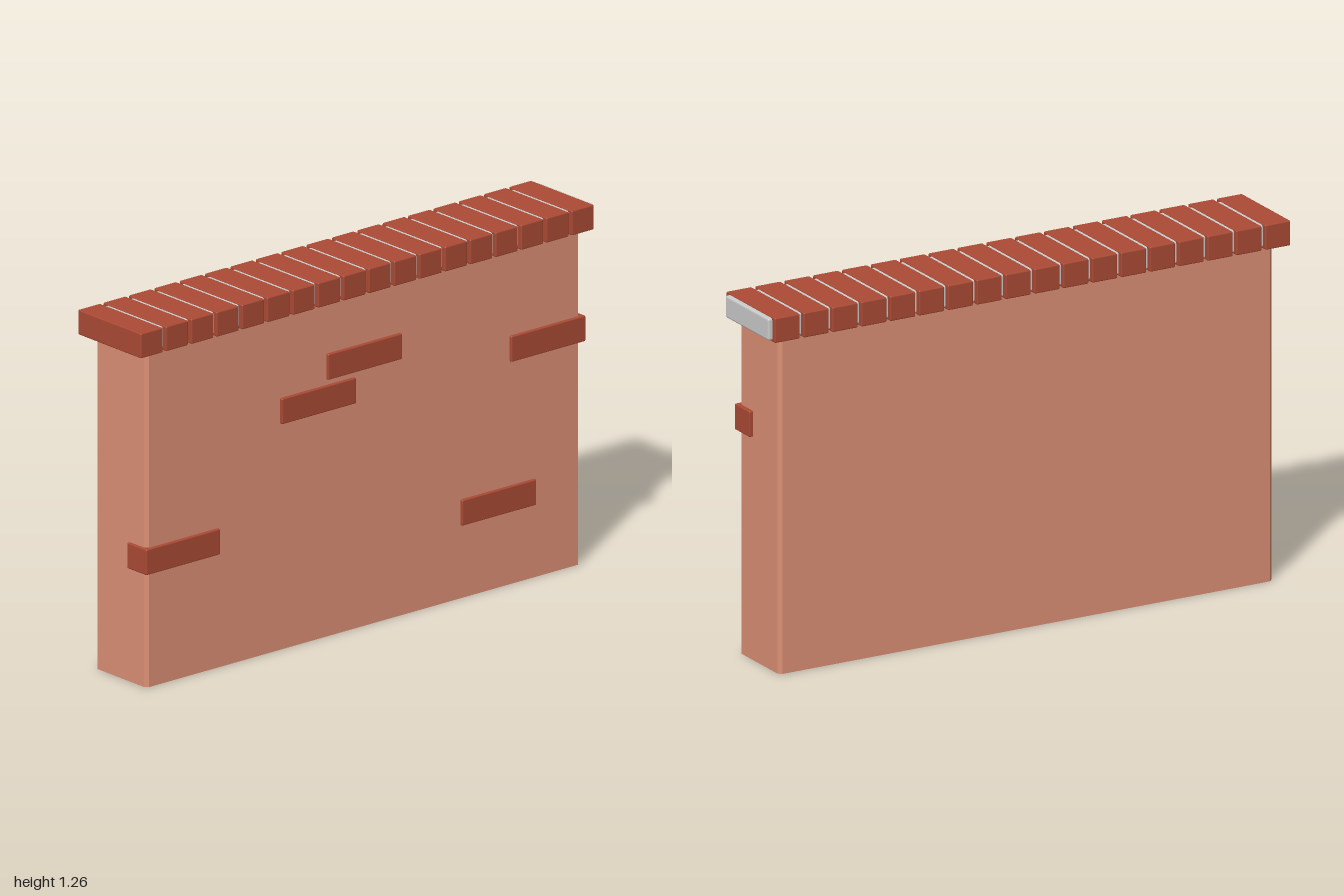
import * as THREE from 'three';
import { RoundedBoxGeometry } from 'three/addons/geometries/RoundedBoxGeometry.js';

const wallMat = new THREE.MeshStandardMaterial({ color: 0xdb8f75 });
const brickMat = new THREE.MeshStandardMaterial({ color: 0xab4a34 });
const mortarMat = new THREE.MeshStandardMaterial({ color: 0xcccccc });

// Softly bevelled block given by its centre and size
function block(name, material, [x, y, z], [w, h, d], bevel = 0.005) {
  const mesh = new THREE.Mesh(new RoundedBoxGeometry(w, h, d, 1, bevel), material);
  mesh.name = name;
  mesh.position.set(x, y, z);
  return mesh;
}

// Upright slab with chamfered vertical corners
function wallBody(halfX, halfZ, height, c) {
  const shape = new THREE.Shape([
    [halfX, -halfZ + c], [halfX, halfZ - c], [halfX - c, halfZ], [-halfX + c, halfZ],
    [-halfX, halfZ - c], [-halfX, -halfZ + c], [-halfX + c, -halfZ], [halfX - c, -halfZ],
  ].map(([x, y]) => new THREE.Vector2(x, y)));
  const geo = new THREE.ExtrudeGeometry(shape, { depth: height, bevelEnabled: false });
  geo.rotateX(-Math.PI / 2);
  const mesh = new THREE.Mesh(geo, wallMat);
  mesh.name = 'wallBody';
  return mesh;
}

export function createModel() {
  const model = new THREE.Group();
  model.name = 'brickWall';
  model.add(wallBody(0.13, 0.95, 1.19, 0.012));

  // Mortar bed showing between the coping bricks and at the back end
  model.add(block('copingMortar', mortarMat, [-0.001, 1.221, -0.01], [0.286, 0.078, 1.98], 0.008));

  // Row of coping bricks
  const coping = new THREE.Group();
  coping.name = 'coping';
  for (let i = 0; i < 18; i++) {
    const z = 0.951 - i * 0.111;
    coping.add(block('copingBrick', brickMat, [-0.001, 1.221, z], [0.322, 0.088, 0.097]));
  }
  model.add(coping);

  // Exposed bricks standing proud of the left face, as [y, z]
  const exposed = new THREE.Group();
  exposed.name = 'exposedBricks';
  for (const [y, z] of [[0.95, 0], [0.84, 0.202], [0.829, -0.802], [0.445, 0.797], [0.302, -0.587]]) {
    exposed.add(block('exposedBrick', brickMat, [0.091, y, z], [0.1, 0.091, 0.325]));
  }
  model.add(exposed);
  return model;
}
